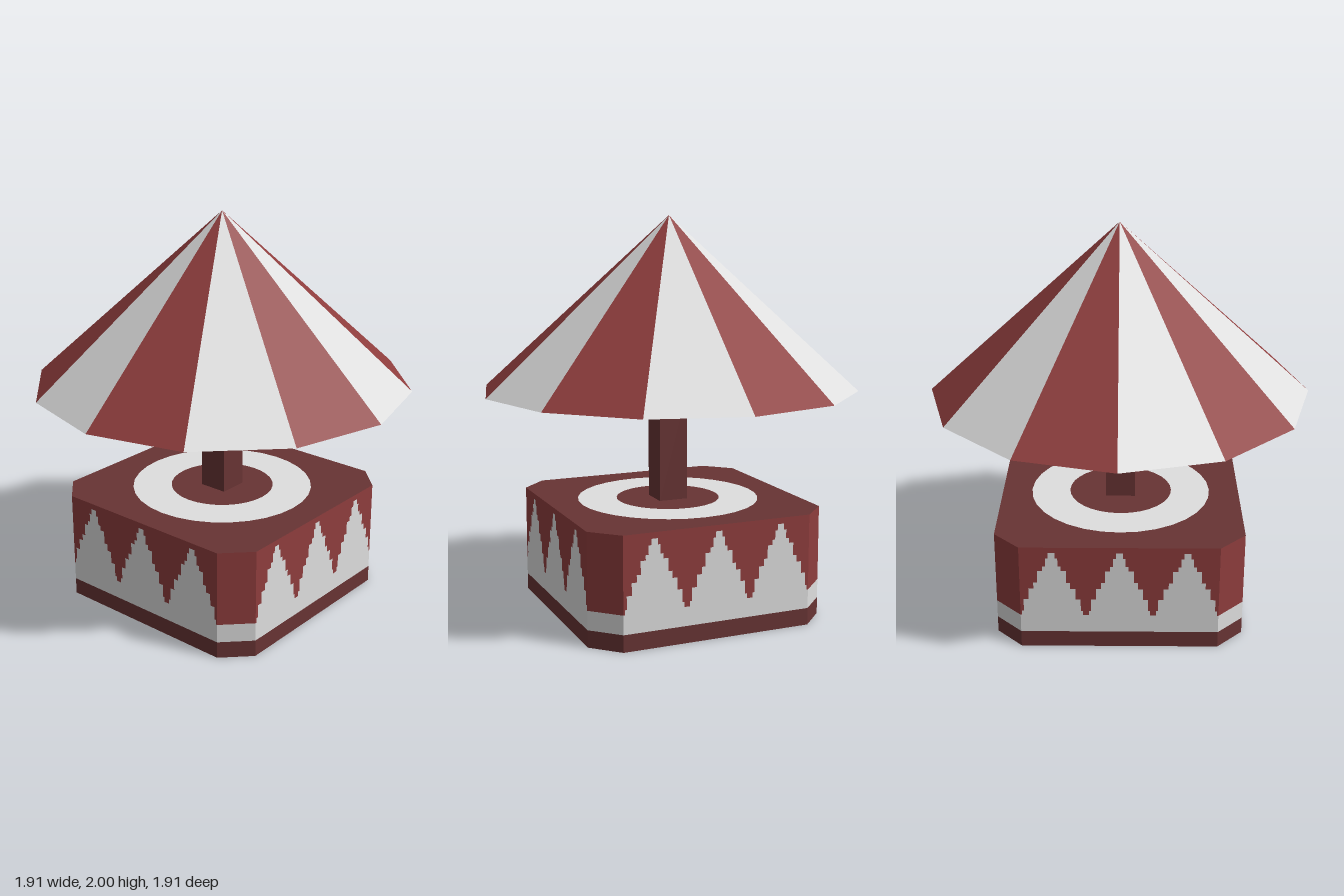
import * as THREE from 'three';

const mat = (name, color) => new THREE.MeshStandardMaterial({ name, color, flatShading: true, side: THREE.DoubleSide });
const white = mat('canvas white', 0xdedede);
const red = mat('canvas red', 0x8e3d3d);
const brown = mat('dark wood', 0x683434);

const HALF = 0.617, SIDE = 0.487, TOP = 0.56, EAVE = 1.13, R = 0.956;

function add(parent, name, geometry, material) {
  const mesh = new THREE.Mesh(geometry, material);
  mesh.name = name;
  parent.add(mesh);
  return mesh;
}

const flat = (points) => new THREE.ShapeGeometry(new THREE.Shape(points.map(([x, y]) => new THREE.Vector2(x, y))));

// Stepped outline of one pointed peak: half width and height of each tread
const STEPS = [[0.15, 0.205], [0.14, 0.27], [0.115, 0.33], [0.09, 0.365], [0.07, 0.43], [0.045, 0.455], [0.03, 0.5], [0.017, 0.53]];

// One wall: plinth strip, white band (with peaks on the wide walls), red field above
function wall(half, peaks) {
  const g = new THREE.Group();
  const edge = [[-half, 0.18]];
  for (const c of peaks) {
    let y = 0.18;
    for (const [w, h] of STEPS) {
      edge.push([c - w, y], [c - w, h]);
      y = h;
    }
    for (let i = STEPS.length - 1; i >= 0; i--) {
      const [w, h] = STEPS[i];
      edge.push([c + w, h], [c + w, i ? STEPS[i - 1][1] : 0.18]);
    }
  }
  edge.push([half, 0.18]);
  add(g, 'plinthStrip', flat([[-half, 0], [half, 0], [half, 0.085], [-half, 0.085]]), brown);
  add(g, 'whiteBand', flat([[half, 0.085], ...[...edge].reverse(), [-half, 0.085]]), white);
  add(g, 'redField', flat([...edge, [half, TOP], [-half, TOP]]), red);
  return g;
}

function makeBase() {
  const base = new THREE.Group();
  base.name = 'base';
  const cut = (HALF - SIDE) / Math.SQRT2;
  const cornerDist = (HALF + SIDE) / Math.SQRT2;

  // Four wide walls and four chamfered corners, open underneath
  for (let i = 0; i < 8; i++) {
    const wide = i % 2 === 0, a = i * Math.PI / 4, d = wide ? HALF : cornerDist;
    const w = wide ? wall(SIDE, [-0.33, 0, 0.33]) : wall(cut, []);
    w.name = wide ? 'wideWall' : 'cornerWall';
    w.position.set(Math.sin(a) * d, 0, Math.cos(a) * d);
    w.rotation.y = a;
    base.add(w);
  }

  // Deck with an inlaid white ring
  const deck = new THREE.Shape([
    [SIDE, HALF], [-SIDE, HALF], [-HALF, SIDE], [-HALF, -SIDE],
    [-SIDE, -HALF], [SIDE, -HALF], [HALF, -SIDE], [HALF, SIDE],
  ].map(([x, y]) => new THREE.Vector2(x, y)));
  deck.holes.push(new THREE.Path().absarc(0, 0, 0.465, 0, Math.PI * 2, true));
  const layers = [
    ['deck', new THREE.ShapeGeometry(deck, 16), brown],
    ['deckRing', new THREE.RingGeometry(0.265, 0.465, 32), white],
    ['deckCentre', new THREE.CircleGeometry(0.265, 32), brown],
  ];
  for (const [name, geo, m] of layers) {
    add(base, name, geo.rotateX(-Math.PI / 2).translate(0, TOP, 0), m);
  }

  // Square centre pole
  add(base, 'pole', new THREE.BoxGeometry(0.15, EAVE - TOP, 0.15), brown).position.y = (EAVE + TOP) / 2;
  base.position.set(-0.005, 0, 0.005);
  return base;
}

function makeRoof() {
  const roof = new THREE.Group();
  roof.name = 'roof';
  // Twelve alternating canvas panels
  const h = 2 - EAVE, step = Math.PI / 6;
  for (let i = 0; i < 12; i++) {
    const geo = new THREE.ConeGeometry(R, h, 1, 1, true, i * step, step);
    add(roof, 'roofPanel', geo, i % 2 ? red : white).position.y = EAVE + h / 2;
  }
  // Flat ceiling
  add(roof, 'ceiling', new THREE.CircleGeometry(R, 12).rotateX(Math.PI / 2), red).position.y = EAVE;
  return roof;
}

export function createModel() {
  const model = new THREE.Group();
  model.name = 'carousel';
  model.add(makeBase(), makeRoof());
  return model;
}
